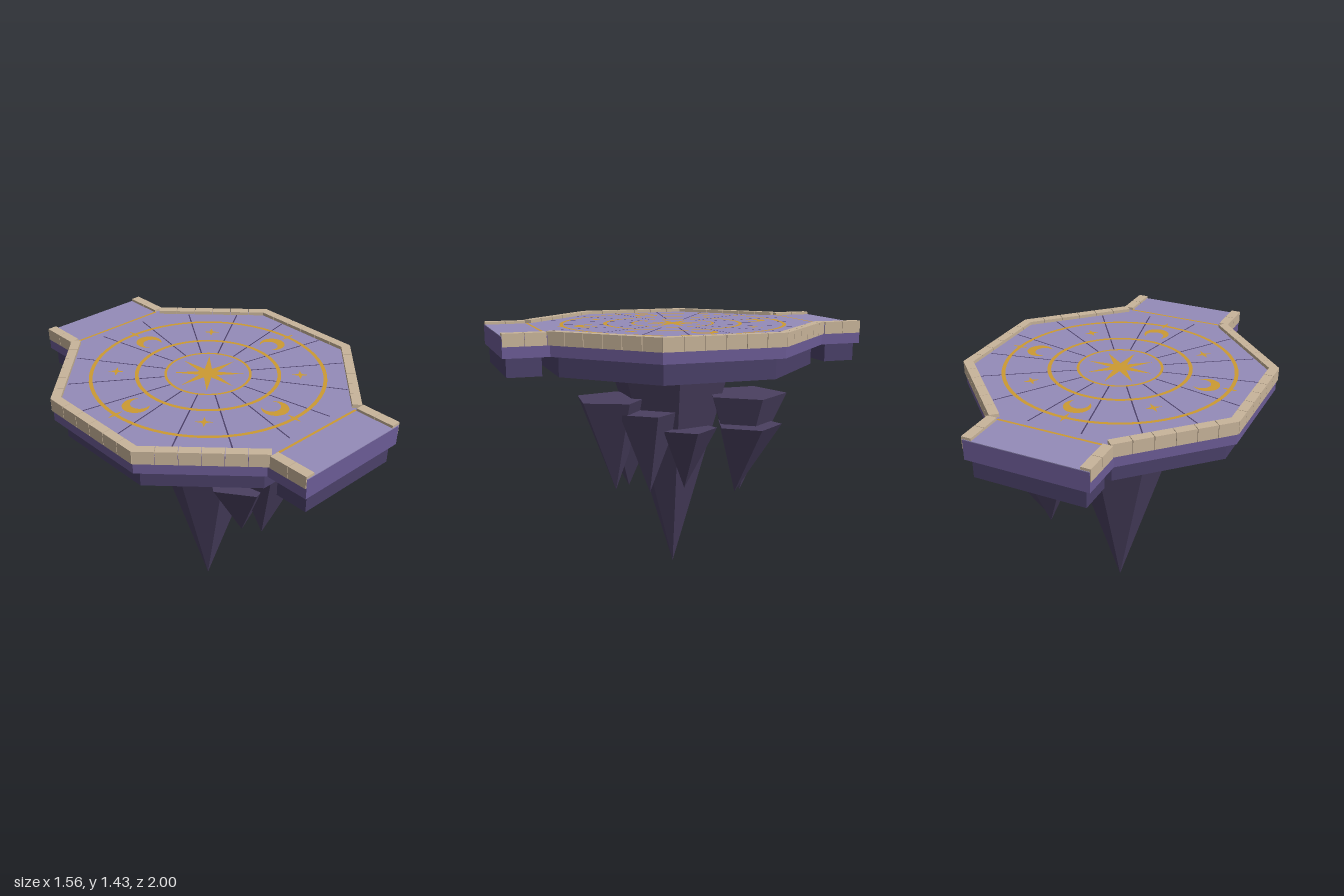
import * as THREE from 'three';

const mat = (name, color, extra = {}) => {
  const m = new THREE.MeshStandardMaterial({ color, flatShading: true, ...extra });
  m.name = name;
  return m;
};

export function createModel() {
  const deckMat = mat('pale violet deck', 0x948bb9);
  const slabMat = mat('violet slab', 0x6b5b95);
  const baseMat = mat('deep violet base', 0x4a4068);
  const rockMat = mat('dark rock', 0x4a4060);
  const stoneMat = mat('beige stone', 0xc8b49a);
  const goldMat = mat('gold inlay', 0xcc9a33, { side: THREE.DoubleSide });
  const lineMat = mat('dark seam', 0x4a4068, { side: THREE.DoubleSide });

  const model = new THREE.Group();
  model.name = 'floatingPlatform';

  const add = (name, geo, material, x = 0, y = 0, z = 0, parent = model) => {
    const m = new THREE.Mesh(geo, material);
    m.name = name;
    m.position.set(x, y, z);
    parent.add(m);
    return m;
  };
  const box = (w, h, d) => new THREE.BoxGeometry(w, h, d);

  // Octagonal prism with flat sides facing the axes
  const octagon = (name, apothem, y0, y1, material) => {
    const r = apothem / Math.cos(Math.PI / 8);
    const g = new THREE.CylinderGeometry(r, r, y1 - y0, 8).rotateY(Math.PI / 8);
    return add(name, g, material, 0, (y0 + y1) / 2, 0);
  };
  octagon('lowerSlab', 0.715, 1.19, 1.3, baseMat);
  octagon('upperSlab', 0.772, 1.3, 1.406, slabMat);
  octagon('deck', 0.772, 1.406, 1.41, deckMat);

  // Stone rim on six sides, six blocks each; front and back stay open
  const APO = 0.78, BLOCKS = 6, SIDE = 2 * APO * Math.tan(Math.PI / 8);
  for (let i = 0; i < 8; i++) {
    if (i % 4 === 0) continue;
    const side = new THREE.Group();
    side.name = 'rimSide';
    side.rotation.y = (i * Math.PI) / 4;
    model.add(side);
    const step = SIDE / BLOCKS;
    for (let b = 0; b < BLOCKS; b++) {
      add('rimBlock', box(step - 0.003, 0.07, 0.05), stoneMat,
        -SIDE / 2 + (b + 0.5) * step, 1.393, APO - 0.025, side);
    }
  }

  // Bridge stubs at the front and back
  for (const s of [1, -1]) {
    add('bridgeSlab', box(0.66, 0.106, 0.24), slabMat, 0, 1.353, s * 0.88);
    add('bridgeDeck', box(0.66, 0.004, 0.23), deckMat, 0, 1.408, s * 0.885);
    add('bridgeBase', box(0.6, 0.1, 0.18), baseMat, 0, 1.25, s * 0.89);
    for (const sx of [1, -1]) {
      for (let b = 0; b < 2; b++) {
        add('bridgeCurb', box(0.053, 0.066, 0.109), stoneMat,
          sx * 0.3085, 1.391, s * (0.832 + b * 0.1115));
      }
    }
  }

  // Flat inlays: geometry drawn in XY is laid on the deck, with +Y pointing outward
  const inlay = (name, geo, angle, radius, y = 1.413, material = goldMat) => {
    geo.translate(0, radius, 0).rotateX(-Math.PI / 2).rotateY(angle);
    return add(name, geo, material, 0, y, 0);
  };
  const star = (points, outer, inner, turn = 0) => {
    const shape = new THREE.Shape();
    for (let i = 0; i < points * 2; i++) {
      const a = turn + Math.PI / 2 + (i * Math.PI) / points;
      const r = i % 2 ? inner : outer;
      shape[i ? 'lineTo' : 'moveTo'](r * Math.cos(a), r * Math.sin(a));
    }
    shape.closePath();
    return new THREE.ShapeGeometry(shape);
  };
  const crescent = () => {
    // Outer arc and a smaller inner arc sharing both horn tips, open to the centre
    const R = 0.07, a0 = -Math.PI * 0.3, a1 = Math.PI * 1.3;
    const hx = R * Math.cos(a0), hy = R * Math.sin(a0);
    const r = 0.05, cy = hy + Math.sqrt(r * r - hx * hx);
    const b = Math.atan2(hy - cy, hx);
    const shape = new THREE.Shape();
    shape.absarc(0, 0, R, a0, a1, false);
    shape.absarc(0, cy, r, Math.PI - b, b, true);
    return new THREE.ShapeGeometry(shape, 20);
  };

  for (const [r, w] of [[0.225, 0.014], [0.378, 0.02], [0.62, 0.02]]) {
    inlay('goldRing', new THREE.RingGeometry(r - w / 2, r + w / 2, 64), 0, 0);
  }
  inlay('centreStar', star(8, 0.19, 0.05), 0, 0);
  for (let i = 0; i < 4; i++) {
    const a = (i * Math.PI) / 2;
    inlay('moon', crescent(), a, 0.492);
    inlay('ringStar', star(4, 0.045, 0.013), a, 0.62, 1.414);
    inlay('cornerStar', star(4, 0.045, 0.013), a + Math.PI / 4, 0.488);
  }
  for (const a of [0, Math.PI]) {
    inlay('thresholdStripe', new THREE.PlaneGeometry(0.565, 0.014), a, 0.772);
  }
  // Sixteen radial seams between the inner ring and the rim
  for (let i = 0; i < 16; i++) {
    inlay('radialSeam', new THREE.PlaneGeometry(0.007, 0.515), ((i + 0.5) * Math.PI) / 8, 0.48, 1.4115, lineMat);
  }

  // Main hanging rock: inverted seven-sided cone
  add('mainSpike', new THREE.ConeGeometry(0.367, 1.19, 7).rotateX(Math.PI), rockMat, 0, 0.595, 0);

  // Smaller spikes: centre, radius, top height, corner angle and tip position
  const spike = (cx, cz, r, top, angle, tx, tz) => {
    const h = top - 0.5;
    const g = new THREE.ConeGeometry(r, h, 5).rotateX(Math.PI)
      .rotateY(-Math.PI / 2 - angle).translate(0, -h / 2, 0);
    const p = g.attributes.position;
    for (let i = 0; i < p.count; i++) {
      const k = -p.getY(i) / h;
      p.setX(i, p.getX(i) + k * (tx - cx));
      p.setZ(i, p.getZ(i) + k * (tz - cz));
    }
    g.computeVertexNormals();
    add('sideSpike', g, rockMat, cx, top, cz);
  };
  spike(0.085, 0.385, 0.21, 1.025, Math.PI / 3, 0.08, 0.365);
  spike(-0.01, 0.27, 0.2, 0.88, Math.PI, 0.015, 0.27);
  spike(0.278, -0.327, 0.23, 1.045, 0, 0.305, -0.29);
  spike(0.38, -0.3, 0.187, 0.892, 0, 0.33, -0.25);
  spike(0.187, 0.21, 0.183, 0.96, 0, 0.19, 0.2);
  spike(0.232, -0.005, 0.163, 0.86, 0, 0.17, -0.01);

  return model;
}
